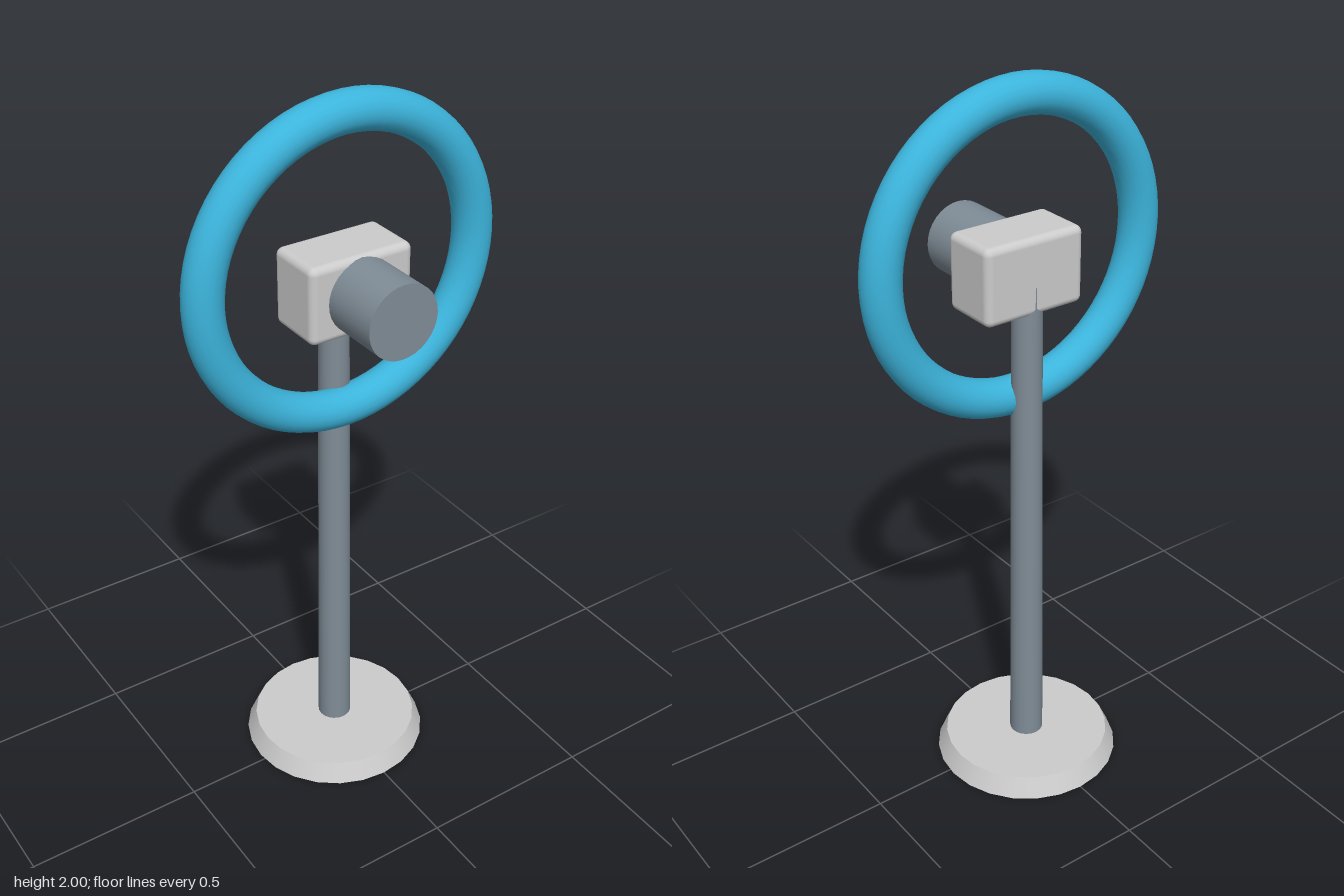
import * as THREE from 'three';
import { RoundedBoxGeometry } from 'three/addons/geometries/RoundedBoxGeometry.js';

export function createModel() {
  const model = new THREE.Group();
  const grey = new THREE.MeshStandardMaterial({ color: 0xcccccc });
  const slate = new THREE.MeshStandardMaterial({ color: 0x7f8c96 });
  const blue = new THREE.MeshStandardMaterial({ color: 0x3cb4dc });

  const add = (name, geometry, material, x, y, z) => {
    const mesh = new THREE.Mesh(geometry, material);
    mesh.name = name;
    mesh.position.set(x, y, z);
    model.add(mesh);
    return mesh;
  };

  const axisZ = -0.02; // the stand sits slightly behind the centre

  // Tapered foot and pole
  add('base', new THREE.CylinderGeometry(0.236, 0.262, 0.056, 24), grey, 0, 0.028, axisZ);
  add('pole', new THREE.CylinderGeometry(0.04, 0.048, 1.5, 20), slate, 0, 0.75, axisZ);

  // Head with its forward-facing barrel
  add('headBox', new RoundedBoxGeometry(0.3, 0.21, 0.17, 4, 0.02), grey, 0, 1.505, 0.025);
  const barrel = add('barrel', new THREE.CylinderGeometry(0.1, 0.1, 0.2, 32), slate, 0, 1.505, 0.18);
  barrel.rotation.x = Math.PI / 2;

  // Ring around the head, passing through the pole
  add('ring', new THREE.TorusGeometry(0.399, 0.053, 20, 72), blue, 0, 1.548, 0.025);

  return model;
}
